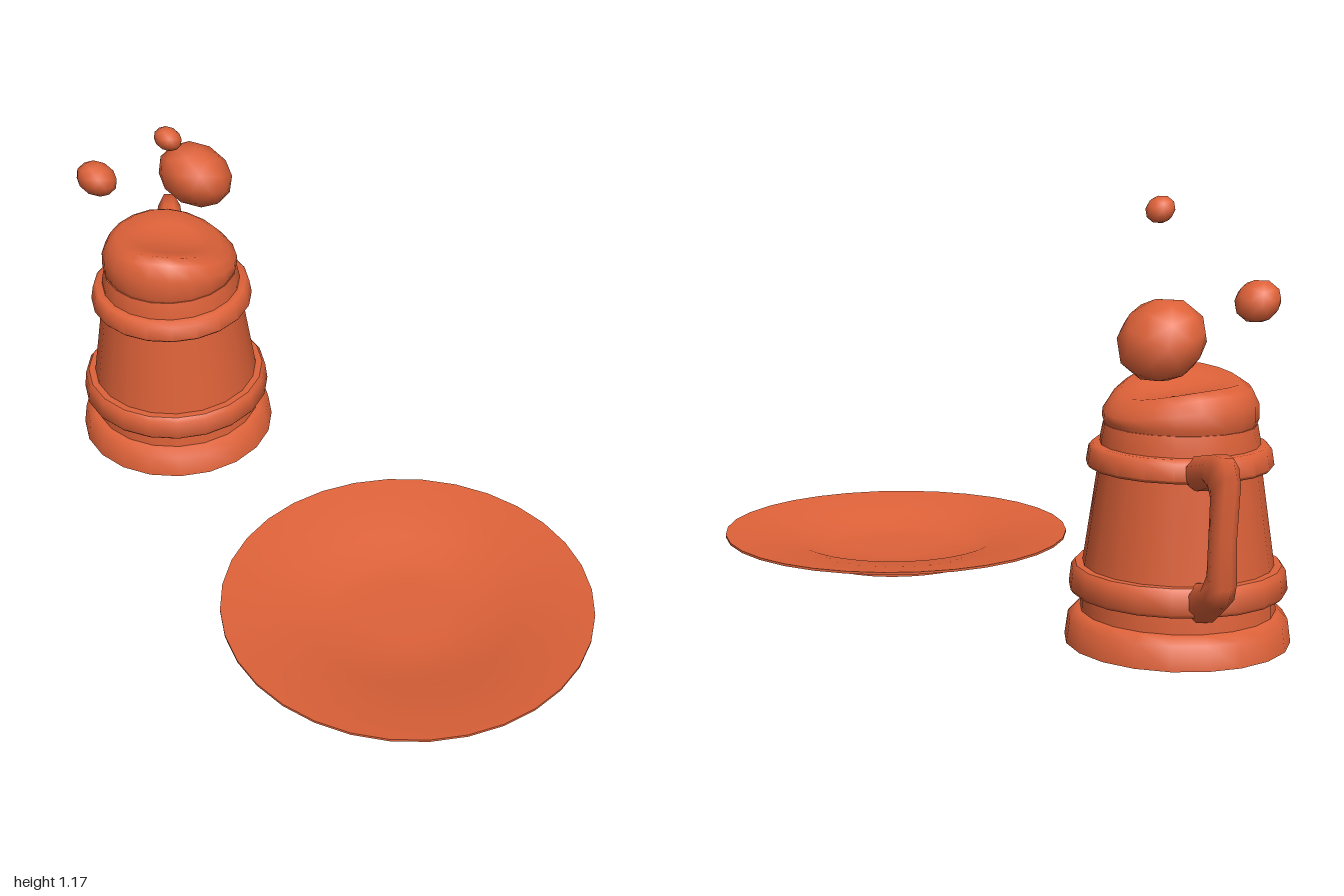
import * as THREE from 'three';
import { toCreasedNormals } from 'three/addons/utils/BufferGeometryUtils.js';

const MUG = { x: -0.435, z: -0.53 };
const clay = new THREE.MeshStandardMaterial({ color: 0xde6239 });
clay.name = 'terracotta';

function add(parent, name, geometry) {
  const mesh = new THREE.Mesh(geometry, clay);
  mesh.name = name;
  parent.add(mesh);
  return mesh;
}

// Turned part from [radius, height] pairs, bottom to top, with sharp corners kept
function turned(profile, sides, crease = 0.9) {
  const points = profile.map(([r, y]) => new THREE.Vector2(r, y));
  return toCreasedNormals(new THREE.LatheGeometry(points, sides), crease);
}

// Rounded bar through stations [outerZ, outerY, innerZ, innerY, halfWidth]
function handleGeometry(stations, sides = 8) {
  const pos = [], index = [];
  stations.forEach(([oz, oy, iz, iy, w], i) => {
    for (let j = 0; j < sides; j++) {
      const a = ((j + 0.5) / sides) * Math.PI * 2;
      const k = 0.5 * Math.cos(a) / Math.cos(Math.PI / sides);
      pos.push(Math.sin(a) * w * 1.08, (oy + iy) / 2 + (oy - iy) * k, (oz + iz) / 2 + (oz - iz) * k);
      if (i === 0) continue;
      const p = (i - 1) * sides, q = i * sides, n = (j + 1) % sides;
      index.push(p + j, p + n, q + n, p + j, q + n, q + j);
    }
  });
  const geometry = new THREE.BufferGeometry();
  geometry.setAttribute('position', new THREE.Float32BufferAttribute(pos, 3));
  geometry.setIndex(index);
  geometry.computeVertexNormals();
  return geometry;
}

// Domed froth: high at the front, dipped in the middle, low on the left
function foamGeometry() {
  const profile = [[0.195, 0.575], [0.207, 0.605], [0.206, 0.645], [0.188, 0.68],
    [0.16, 0.698], [0.1, 0.688], [0.05, 0.68], [0, 0.678]];
  const geometry = new THREE.LatheGeometry(profile.map(([r, y]) => new THREE.Vector2(r, y)), 20);
  const p = geometry.attributes.position;
  for (let i = 0; i < p.count; i++) {
    const x = p.getX(i) / 0.16, y = p.getY(i), z = p.getZ(i) / 0.16;
    const weight = THREE.MathUtils.clamp((y - 0.6) / 0.08, 0, 1);
    p.setY(i, y + weight * (-0.02 * x + 0.015 * z + 0.0125 * (z * z - x * x)));
  }
  return toCreasedNormals(geometry, 1.2);
}

export function createModel() {
  const model = new THREE.Group();
  model.name = 'mugAndPlate';

  // Mug
  const mug = new THREE.Group();
  mug.name = 'mug';
  mug.position.set(MUG.x, 0, MUG.z);
  model.add(mug);
  add(mug, 'mugFoot', turned([[0, 0], [0.303, 0], [0.294, 0.065], [0.272, 0.086], [0.24, 0.086]], 20));
  add(mug, 'mugBody', turned([[0.262, 0.07], [0.257, 0.2], [0.213, 0.5], [0.212, 0.55], [0.204, 0.59], [0, 0.59]], 20));
  add(mug, 'lowerBand', turned([[0.25, 0.132], [0.284, 0.136], [0.292, 0.146], [0.286, 0.198], [0.276, 0.211], [0.24, 0.211]], 20));
  add(mug, 'upperBand', turned([[0.2, 0.473], [0.242, 0.475], [0.249, 0.483], [0.242, 0.525], [0.232, 0.536], [0.2, 0.536]], 20));
  add(mug, 'foam', foamGeometry());

  // Handle at the back of the mug
  const handle = add(mug, 'handle', handleGeometry([
    [-0.70, 0.53, -0.70, 0.45, 0.05],
    [-0.77, 0.548, -0.77, 0.457, 0.048],
    [-0.90, 0.578, -0.868, 0.488, 0.04],
    [-0.965, 0.582, -0.895, 0.478, 0.036],
    [-0.998, 0.54, -0.908, 0.45, 0.033],
    [-0.968, 0.38, -0.908, 0.37, 0.033],
    [-0.972, 0.25, -0.903, 0.29, 0.035],
    [-0.935, 0.197, -0.868, 0.243, 0.04],
    [-0.80, 0.12, -0.79, 0.222, 0.048],
    [-0.74, 0.11, -0.74, 0.21, 0.05],
  ]));
  handle.position.z = -MUG.z;

  // Floating froth drops, flattened along a slanted axis
  const drops = [
    ['largeDrop', -0.345, 0.831, -0.667, 0.12],
    ['mediumDrop', -0.638, 0.908, -0.537, 0.064],
    ['smallDrop', -0.418, 1.138, -0.357, 0.042],
  ];
  const slant = new THREE.Vector3(0.5, 0.75, -0.45).normalize();
  for (const [name, x, y, z, r] of drops) {
    const drop = add(model, name, new THREE.IcosahedronGeometry(r, 1));
    drop.position.set(x, y, z);
    drop.scale.y = 0.8;
    drop.quaternion.setFromUnitVectors(new THREE.Vector3(0, 1, 0), slant);
  }

  // Plate with a shallow dished middle
  const plate = add(model, 'plate', turned([[0, 0], [0.263, 0], [0.263, 0.024], [0.531, 0.079],
    [0.531, 0.086], [0.31, 0.06], [0.23, 0.032], [0.12, 0.029], [0, 0.029]], 32));
  plate.position.set(0.2, 0, 0.469);

  return model;
}
